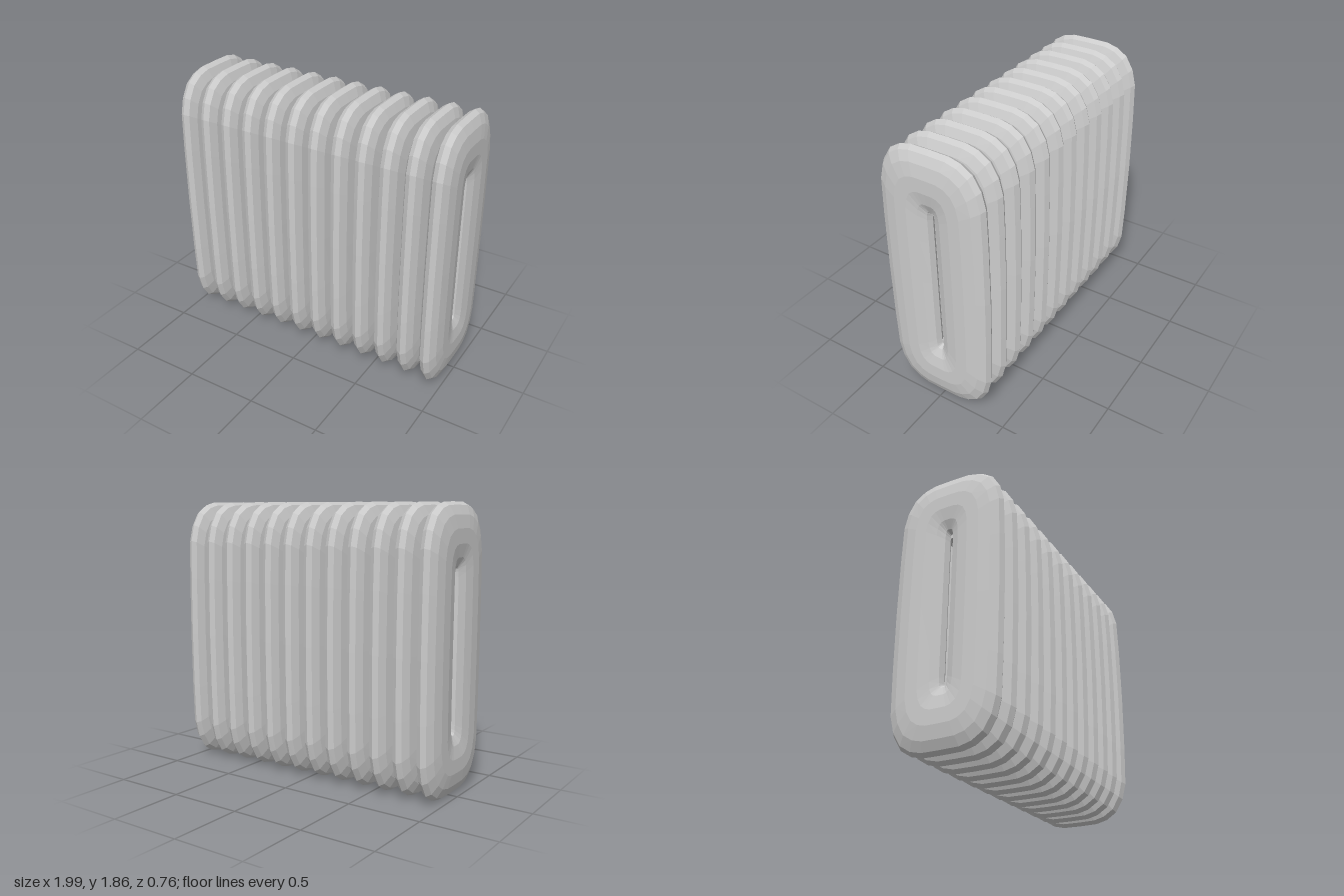
import * as THREE from 'three';

const FINS = 12, SPACING = 0.168, HALF_W = 0.075, MID_Y = 0.93, SIDES = 14;

// Mirrors a quarter outline (top centre to side middle, [z, y]) into a closed loop.
function mirrorLoop(q) {
  const back = q.slice(0, -1).reverse();
  const half = [...q, ...back.map(([z, y]) => [z, -y])];
  return [...half, ...half.slice(1, -1).reverse().map(([z, y]) => [-z, y])];
}

// One fin: an elliptical tube swept between an outer rounded outline and a narrow inner slot.
function finGeometry() {
  const outer = mirrorLoop([[0, 0.93], [0.13, 0.928], [0.21, 0.908], [0.285, 0.86],
    [0.34, 0.77], [0.368, 0.66], [0.376, 0.4], [0.38, 0]]);
  const inner = mirrorLoop([[0, 0.515], [0.003, 0.515], [0.006, 0.512], [0.008, 0.505],
    [0.009, 0.49], [0.01, 0.46], [0.01, 0.3], [0.01, 0]]);
  const n = outer.length, pos = [], index = [];
  for (let i = 0; i < n; i++) {
    for (let j = 0; j < SIDES; j++) {
      const a = (j / SIDES) * Math.PI * 2 + Math.PI / 2;
      const t = 0.5 + 0.5 * Math.sin(a);
      pos.push(HALF_W * Math.cos(a),
        MID_Y + THREE.MathUtils.lerp(inner[i][1], outer[i][1], t),
        THREE.MathUtils.lerp(inner[i][0], outer[i][0], t));
      const i2 = (i + 1) % n, j2 = (j + 1) % SIDES;
      const p = i * SIDES + j, q = i2 * SIDES + j, r = i2 * SIDES + j2, s = i * SIDES + j2;
      index.push(p, s, q, q, s, r);
    }
  }
  const g = new THREE.BufferGeometry();
  g.setAttribute('position', new THREE.Float32BufferAttribute(pos, 3));
  g.setIndex(index);
  g.computeVertexNormals();
  return g;
}

export function createModel() {
  const model = new THREE.Group();
  model.name = 'radiator';
  const material = new THREE.MeshStandardMaterial({
    color: 0xcccccc, flatShading: true, side: THREE.DoubleSide });

  // Row of identical fins
  const fin = finGeometry();
  for (let i = 0; i < FINS; i++) {
    const mesh = new THREE.Mesh(fin, material);
    mesh.name = `fin${i + 1}`;
    mesh.position.x = (i - (FINS - 1) / 2) * SPACING;
    model.add(mesh);
  }

  // Upper and lower pipes joining the fins
  const pipe = new THREE.CylinderGeometry(0.122, 0.122, SPACING * (FINS - 1), 24).rotateZ(Math.PI / 2);
  for (const [name, y] of [['lowerPipe', 0.32], ['upperPipe', 1.54]]) {
    const mesh = new THREE.Mesh(pipe, material);
    mesh.name = name;
    mesh.position.y = y;
    model.add(mesh);
  }
  return model;
}
